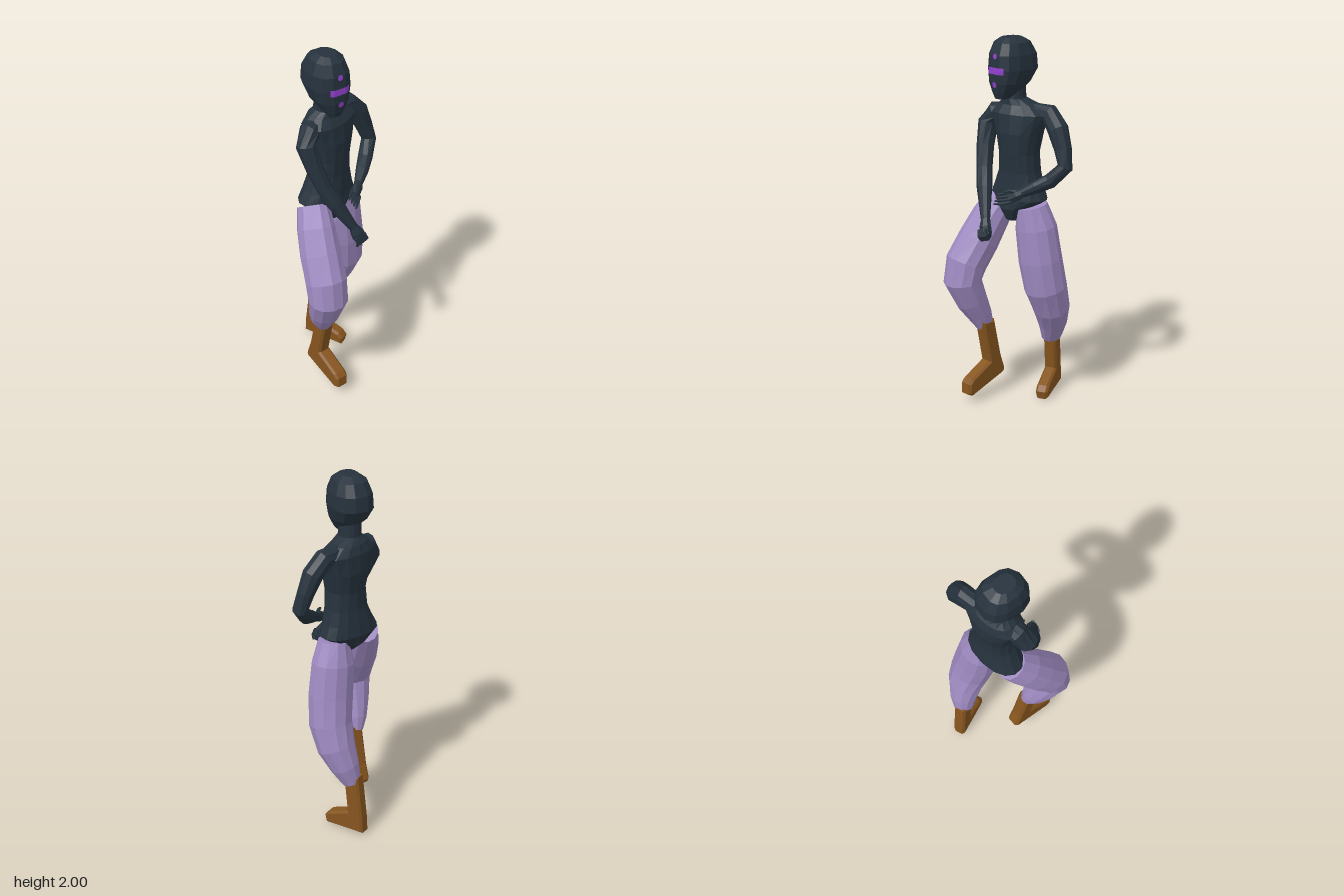
import * as THREE from 'three';

const mat = (name, color) => Object.assign(new THREE.MeshStandardMaterial({ color }), { name });
const V = (x, y, z) => new THREE.Vector3(x, y, z);

// Faceted skin over rings [x, y, z, halfWidth, halfDepth]; listed from top to tip.
// level keeps rings horizontal, yaw turns them, power < 1 squares them off.
function loft(rings, { sides = 10, level = false, yaw = () => 0, power = 1 } = {}) {
  const pos = [], index = [];
  const bend = c => Math.sign(c) * Math.abs(c) ** power;
  const c = rings.map(r => V(r[0], r[1], r[2]));
  const last = rings.length - 1;
  rings.forEach(([, , , rx, rz], i) => {
    const t = level ? V(0, -1, 0)
      : c[Math.min(i + 1, last)].clone().sub(c[Math.max(i - 1, 0)]).normalize();
    const a0 = yaw(i / last);
    const v = V(Math.sin(a0), 0, Math.cos(a0));
    v.addScaledVector(t, -v.dot(t)).normalize();
    const u = t.clone().negate().cross(v);
    for (let j = 0; j < sides; j++) {
      const a = (j + 0.5) / sides * Math.PI * 2;
      const p = c[i].clone().addScaledVector(u, rx * bend(Math.cos(a))).addScaledVector(v, rz * bend(Math.sin(a)));
      pos.push(p.x, p.y, p.z);
    }
  });
  const top = pos.length / 3;
  pos.push(...c[0].toArray(), ...c[last].toArray());
  for (let j = 0; j < sides; j++) {
    const k = (j + 1) % sides;
    for (let i = 0; i < last; i++) {
      const a = i * sides, b = a + sides;
      index.push(a + j, a + k, b + k, a + j, b + k, b + j);
    }
    index.push(top, k, j, top + 1, last * sides + j, last * sides + k);
  }
  const g = new THREE.BufferGeometry();
  g.setAttribute('position', new THREE.Float32BufferAttribute(pos, 3));
  g.setIndex(index);
  const flat = g.toNonIndexed();
  flat.computeVertexNormals();
  return flat;
}

// Boot from a side profile [forward, up], extruded across its width
function bootGeometry(profile, width) {
  const bevel = 0.012;
  const shape = new THREE.Shape(profile.map(p => new THREE.Vector2(...p)));
  const g = new THREE.ExtrudeGeometry(shape, {
    depth: width - 2 * bevel, bevelEnabled: true, bevelSegments: 1,
    bevelThickness: bevel, bevelSize: bevel, bevelOffset: -bevel,
  });
  return g.translate(0, 0, bevel - width / 2);
}

export function createModel() {
  const model = new THREE.Group();
  const skin = mat('dark slate', 0x26323d);
  const cloth = mat('lavender cloth', 0x9f8bc2);
  const leather = mat('brown leather', 0x86551f);
  const paint = mat('violet paint', 0x9140cc);
  const add = (name, geometry, material) => {
    const mesh = new THREE.Mesh(geometry, material);
    mesh.name = name;
    model.add(mesh);
    return mesh;
  };

  // Head and twisted torso
  const hx = -0.053;
  const head = add('head', loft([
    [hx, 2.0, -0.01, 0.045, 0.055], [hx, 1.975, -0.015, 0.08, 0.095],
    [hx, 1.915, -0.02, 0.102, 0.125], [hx, 1.84, -0.02, 0.107, 0.131],
    [hx, 1.77, 0.003, 0.088, 0.108], [hx, 1.72, 0.03, 0.058, 0.07],
    [hx, 1.69, 0.055, 0.035, 0.035],
  ], { sides: 12, level: true, power: 0.8 }), skin);

  add('torso', loft([
    [-0.05, 1.76, -0.03, 0.055, 0.055], [-0.048, 1.685, -0.03, 0.056, 0.06],
    [-0.035, 1.655, -0.045, 0.11, 0.075], [-0.022, 1.61, -0.043, 0.165, 0.098],
    [-0.02, 1.51, -0.04, 0.13, 0.107], [-0.02, 1.4, -0.035, 0.108, 0.095],
    [-0.022, 1.3, -0.04, 0.117, 0.092], [-0.03, 1.22, -0.042, 0.143, 0.1],
    [-0.035, 1.155, -0.045, 0.172, 0.104], [-0.035, 1.1, -0.035, 0.09, 0.1],
    [-0.035, 1.035, -0.015, 0.04, 0.05],
  ], { sides: 14, level: true, yaw: t => 0.34 - 0.22 * t, power: 0.9 }), skin);

  // Arms
  add('rightArm', loft([
    [-0.06, 1.615, -0.03, 0.045, 0.04], [-0.16, 1.595, 0.0, 0.058, 0.055],
    [-0.2, 1.535, 0.025, 0.052, 0.056], [-0.178, 1.42, 0.065, 0.045, 0.047],
    [-0.145, 1.31, 0.1, 0.042, 0.042], [-0.105, 1.22, 0.135, 0.043, 0.04],
    [-0.06, 1.13, 0.17, 0.032, 0.03], [-0.028, 1.07, 0.195, 0.024, 0.024],
  ]), skin);
  add('leftArm', loft([
    [0.04, 1.62, -0.07, 0.045, 0.045], [0.14, 1.613, -0.1, 0.055, 0.05],
    [0.2, 1.545, -0.102, 0.056, 0.055], [0.24, 1.45, -0.1, 0.046, 0.046],
    [0.268, 1.36, -0.09, 0.04, 0.042], [0.21, 1.285, -0.04, 0.039, 0.039],
    [0.155, 1.25, 0.01, 0.034, 0.034], [0.1, 1.215, 0.055, 0.023, 0.023],
  ]), skin);

  // Hands: a closed fist and an open palm
  add('rightHand', loft([
    [-0.028, 1.075, 0.193, 0.023, 0.024], [-0.014, 1.04, 0.208, 0.036, 0.03],
    [-0.002, 1.005, 0.213, 0.036, 0.03], [0.002, 0.98, 0.21, 0.024, 0.022],
  ], { sides: 8 }), skin);
  add('leftHand', loft([
    [0.105, 1.22, 0.05, 0.022, 0.022], [0.08, 1.205, 0.075, 0.03, 0.026],
    [0.05, 1.185, 0.097, 0.028, 0.022],
  ], { sides: 8 }), skin);
  for (let i = 0; i < 4; i++) {
    const k = i - 1.5;
    add('rightFinger', loft([
      [-0.012 + k * 0.017, 1.03 + k * 0.006, 0.23, 0.009, 0.01],
      [0.0 + k * 0.017, 0.995 + k * 0.006, 0.238, 0.01, 0.011],
      [0.004 + k * 0.017, 0.972 + k * 0.006, 0.222, 0.008, 0.008],
    ], { sides: 5 }), skin);
    add('leftFinger', loft([
      [0.06 + k * 0.01, 1.19 - k * 0.014, 0.09 + k * 0.008, 0.011, 0.01],
      [0.03 + k * 0.008, 1.18 - k * 0.014, 0.118 + k * 0.01, 0.01, 0.009],
      [-0.002 + k * 0.006, 1.178 - k * 0.013, 0.15 + k * 0.012, 0.005, 0.005],
    ], { sides: 5 }), skin);
  }
  add('leftThumb', loft([
    [0.08, 1.22, 0.08, 0.012, 0.012], [0.055, 1.225, 0.11, 0.01, 0.01], [0.035, 1.215, 0.13, 0.005, 0.005],
  ], { sides: 5 }), skin);

  // Baggy trouser legs
  add('rightTrouserLeg', loft([
    [-0.135, 1.125, -0.02, 0.082, 0.09], [-0.16, 1.03, 0.045, 0.1, 0.105],
    [-0.18, 0.91, 0.115, 0.11, 0.112], [-0.197, 0.79, 0.19, 0.112, 0.112],
    [-0.2, 0.69, 0.215, 0.11, 0.1], [-0.187, 0.57, 0.165, 0.092, 0.085],
    [-0.172, 0.48, 0.12, 0.07, 0.067], [-0.158, 0.415, 0.095, 0.046, 0.05],
  ], { sides: 12 }), cloth);
  add('leftTrouserLeg', loft([
    [0.058, 1.12, -0.055, 0.08, 0.086], [0.072, 1.0, -0.072, 0.116, 0.106],
    [0.092, 0.82, -0.085, 0.124, 0.112], [0.108, 0.66, -0.11, 0.118, 0.115],
    [0.1, 0.53, -0.16, 0.105, 0.1], [0.07, 0.42, -0.2, 0.08, 0.08],
    [0.04, 0.325, -0.222, 0.053, 0.06],
  ], { sides: 12 }), cloth);

  // Boots
  const rightBoot = add('rightBoot', bootGeometry([
    [-0.05, 0.13], [-0.04, 0.108], [0.2, 0.04], [0.23, 0.055], [0.228, 0.115], [0.205, 0.14],
    [0.07, 0.205], [0.118, 0.45], [0.03, 0.45], [-0.02, 0.22],
  ], 0.076), leather);
  rightBoot.position.set(-0.155, 0, 0.03);
  rightBoot.rotation.y = 0.08 - Math.PI / 2;
  const leftBoot = add('leftBoot', bootGeometry([
    [-0.055, 0.018], [0.185, 0.0], [0.195, 0.045], [0.17, 0.075], [0.045, 0.13],
    [0.07, 0.37], [-0.02, 0.37], [-0.05, 0.11],
  ], 0.07), leather);
  leftBoot.position.set(0.022, 0, -0.252);
  leftBoot.rotation.y = 0.48 - Math.PI / 2;

  // Painted face marks, laid onto the face
  const ray = new THREE.Raycaster();
  const mark = (name, y, geometry) => {
    geometry.translate(hx + 0.004, y, 0);
    const p = geometry.attributes.position;
    for (let i = 0; i < p.count; i++) {
      ray.set(V(p.getX(i), p.getY(i), 1), V(0, 0, -1));
      const hit = ray.intersectObject(head)[0];
      p.setZ(i, (hit ? hit.point.z : 0.1) + 0.004);
    }
    geometry.computeVertexNormals();
    add(name, geometry, paint);
  };
  mark('browMark', 1.91, new THREE.CircleGeometry(0.015, 8));
  mark('eyeBand', 1.837, new THREE.PlaneGeometry(0.112, 0.034, 14, 4));
  mark('chinMark', 1.765, new THREE.CircleGeometry(0.016, 8));

  return model;
}
